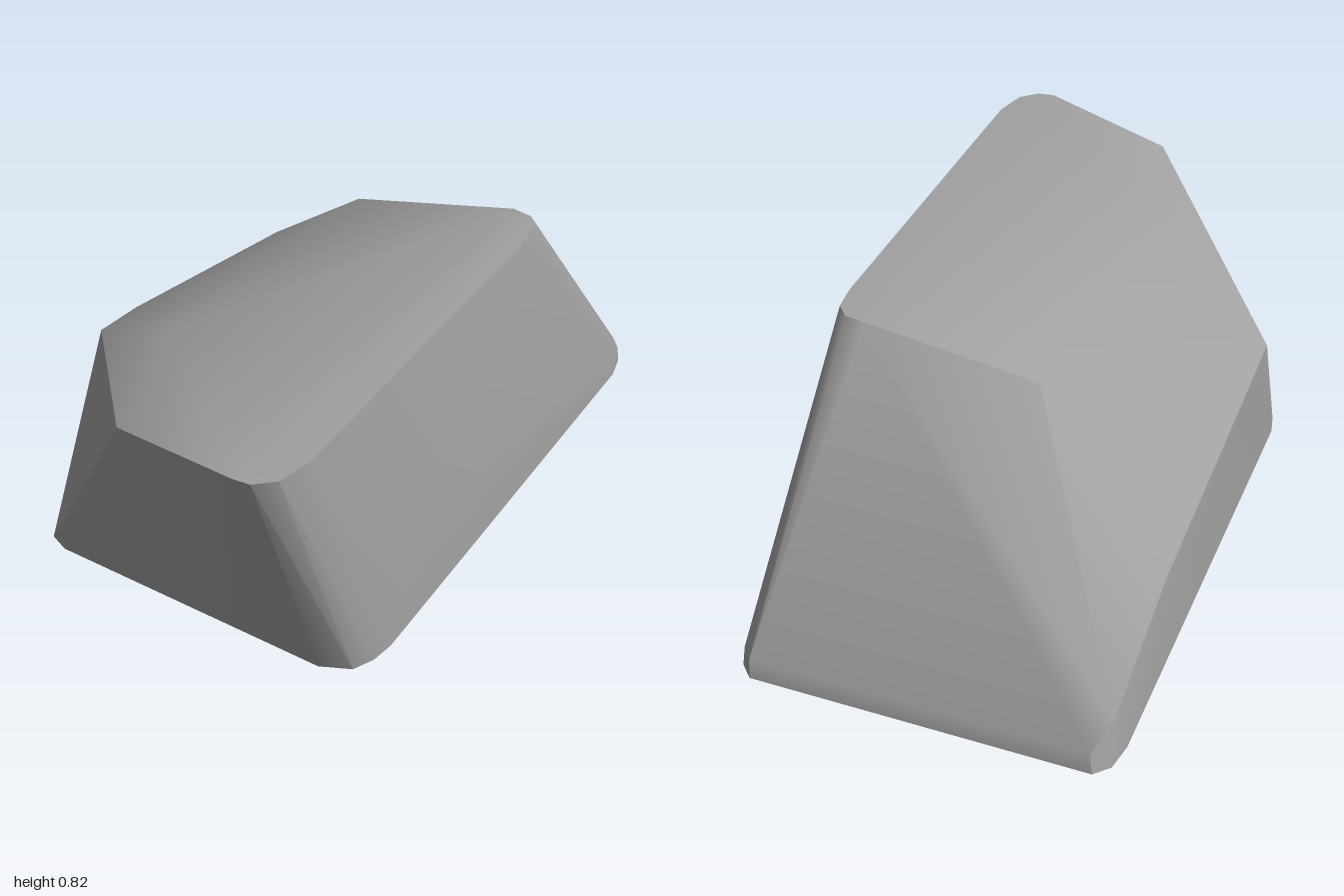
import * as THREE from 'three';
import { ConvexGeometry } from 'three/addons/geometries/ConvexGeometry.js';
import { toCreasedNormals } from 'three/addons/utils/BufferGeometryUtils.js';

// Corner points of the block, as [x, y, z]
const base = [
  [-0.545, 0, 0.57], [-0.53, 0, 0.64], [-0.5, 0, 0.695], [-0.44, 0, 0.72],
  [0.43, 0, 0.73], [0.515, 0, 0.69], [0.545, 0, 0.63], [0.557, 0, 0.56],
  [0.557, 0, -0.88], [0.54, 0, -0.96], [0.5, 0, -1],
  [-0.49, 0, -1], [-0.53, 0, -0.96], [-0.545, 0, -0.88],
];
const rearLip = [
  [0.555, 0.07, -0.86], [0.535, 0.06, -0.95], [0.5, 0.06, -0.99],
  [-0.48, 0.06, -0.99], [-0.52, 0.13, -0.92], [-0.545, 0.34, -0.58],
];
const sides = [[0.555, 0.32, 0.45], [-0.56, 0.495, 0.33], [-0.56, 0.475, 0.16]];
const top = [
  [0.36, 0.825, 1], [0.41, 0.825, 0.995], [0.46, 0.825, 0.95], [0.485, 0.825, 0.85],
  [0.485, 0.825, -0.28], [0.475, 0.825, -0.36], [0.44, 0.825, -0.4], [0.38, 0.825, -0.41],
  [-0.11, 0.72, -0.37], [-0.17, 0.755, 0.52], [-0.04, 0.755, 0.92],
];

export function createModel() {
  const model = new THREE.Group();
  model.name = 'rock';

  const stone = new THREE.MeshStandardMaterial({ color: 0xa0a0a0 });
  stone.name = 'grey stone';

  // Leaning boulder: hull of the corners, rounded corners shaded smooth
  const points = [...base, ...rearLip, ...sides, ...top].map((p) => new THREE.Vector3(...p));
  const boulder = new THREE.Mesh(toCreasedNormals(new ConvexGeometry(points), 0.6), stone);
  boulder.name = 'boulder';
  model.add(boulder);

  return model;
}
